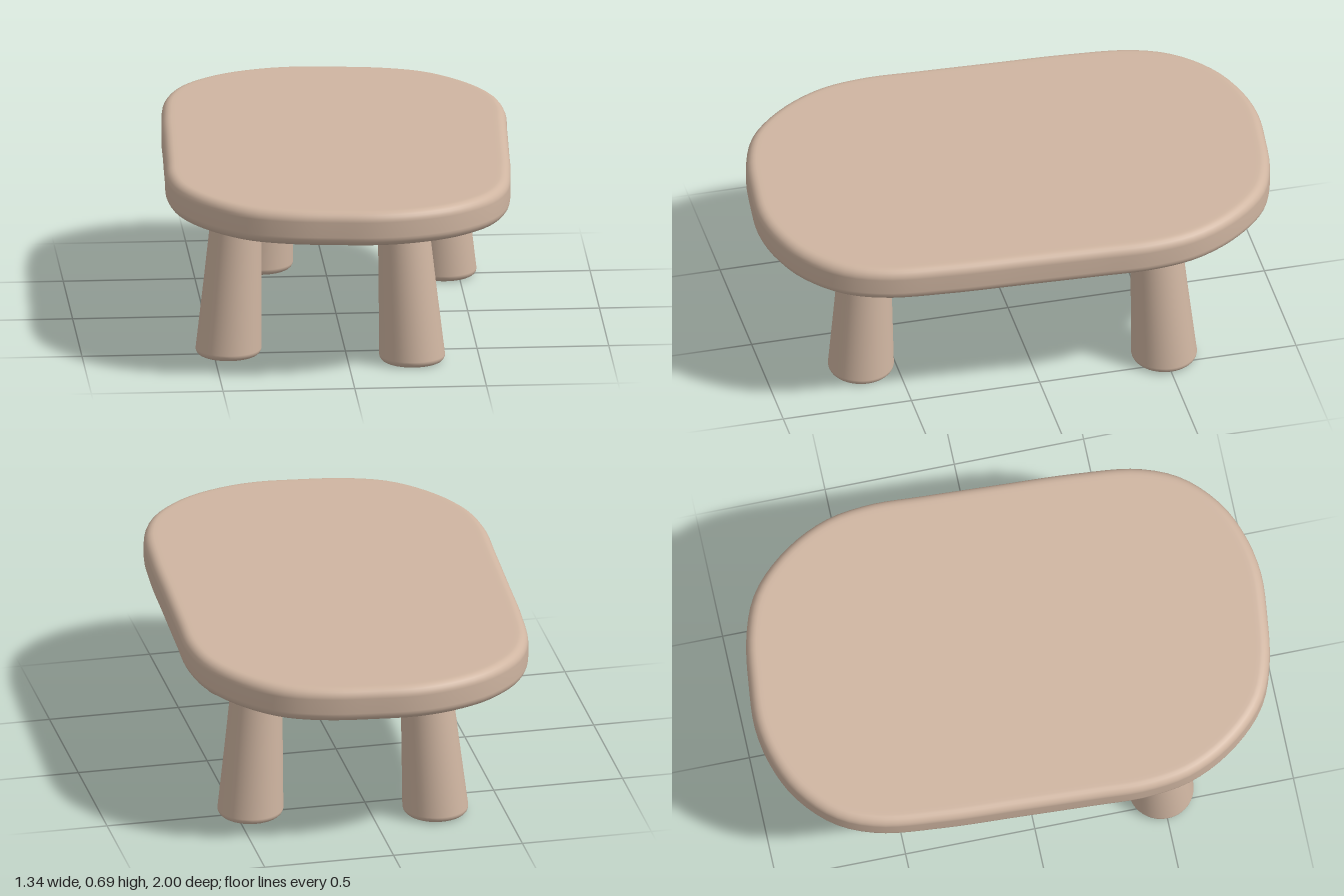
import * as THREE from 'three';

const clay = new THREE.MeshStandardMaterial({ color: 0xcfb5a1 });
clay.name = 'clay';

// Half of the top's outline as [x, z]; the other half is the same turned by 180 degrees
const HALF = [
  [-0.1, -1], [0.07, -0.988], [0.25, -0.96], [0.41, -0.895], [0.55, -0.755], [0.642, -0.58],
  [0.671, -0.4], [0.664, -0.2], [0.65, 0.1], [0.636, 0.38], [0.605, 0.63], [0.535, 0.785], [0.4, 0.91], [0.25, 0.975],
];

// Slab lofted from inset copies of the outline, with rounded rims
function makeTop() {
  const y0 = 0.555, y1 = 0.69, r = 0.038, segs = 120, steps = 6;
  const curve = new THREE.CatmullRomCurve3(
    [...HALF, ...HALF.map(([x, z]) => [-x, -z])].map(([x, z]) => new THREE.Vector3(x, 0, z)), true);

  // Cross-section as [inset, y], from underside to upper side
  const section = [[0.12, y0], [r + 0.015, y0]];
  for (let i = 0; i <= steps; i++) {
    const a = (i / steps) * Math.PI / 2;
    section.push([r * (1 - Math.sin(a)), y0 + r * (1 - Math.cos(a))]);
  }
  for (let i = 0; i <= steps; i++) {
    const a = (i / steps) * Math.PI / 2;
    section.push([r * (1 - Math.cos(a)), y1 - r * (1 - Math.sin(a))]);
  }
  section.push([r + 0.015, y1], [0.12, y1]);

  const pos = [], index = [];
  for (const [inset, y] of section) {
    for (let i = 0; i < segs; i++) {
      const p = curve.getPointAt(i / segs), t = curve.getTangentAt(i / segs);
      pos.push(p.x - t.z * inset, y, p.z + t.x * inset);
    }
  }
  const last = (section.length - 1) * segs, under = section.length * segs, upper = under + 1;
  pos.push(0, y0, 0, 0, y1, 0);
  for (let i = 0; i < segs; i++) {
    const j = (i + 1) % segs;
    for (let k = 0; k < last; k += segs) {
      index.push(k + i, k + segs + i, k + j, k + j, k + segs + i, k + segs + j);
    }
    index.push(under, i, j, upper, last + j, last + i);
  }
  const g = new THREE.BufferGeometry();
  g.setAttribute('position', new THREE.Float32BufferAttribute(pos, 3));
  g.setIndex(index);
  g.computeVertexNormals();
  return g;
}

// Tapered round leg with a softened foot, leaning inward by shear
function makeLeg(leanX, leanZ) {
  const h = 0.57, r = 0.025;
  const profile = [[0, 0], [0.09, 0]];
  for (let i = 0; i <= 5; i++) {
    const a = (i / 5) * Math.PI / 2;
    profile.push([0.1 + r * Math.sin(a), r * (1 - Math.cos(a))]);
  }
  profile.push([0.109, 0.3], [0.095, h]);
  const g = new THREE.LatheGeometry(profile.map(([x, y]) => new THREE.Vector2(x, y)), 40);
  return g.applyMatrix4(new THREE.Matrix4().set(
    1, leanX / h, 0, 0,
    0, 1, 0, 0,
    0, leanZ / h, 1, 0,
    0, 0, 0, 1));
}

export function createModel() {
  const table = new THREE.Group();
  table.name = 'table';
  const add = (name, geometry) => {
    const mesh = new THREE.Mesh(geometry, clay);
    mesh.name = name;
    table.add(mesh);
    return mesh;
  };
  add('tableTop', makeTop());

  // Legs: name, foot x, foot z
  for (const [name, x, z] of [
    ['frontLeftLeg', 0.245, 0.635], ['frontRightLeg', -0.445, 0.5],
    ['backLeftLeg', 0.445, -0.5], ['backRightLeg', -0.245, -0.635],
  ]) {
    add(name, makeLeg(-Math.sign(x) * 0.035, -Math.sign(z) * 0.028)).position.set(x, 0, z);
  }
  return table;
}
